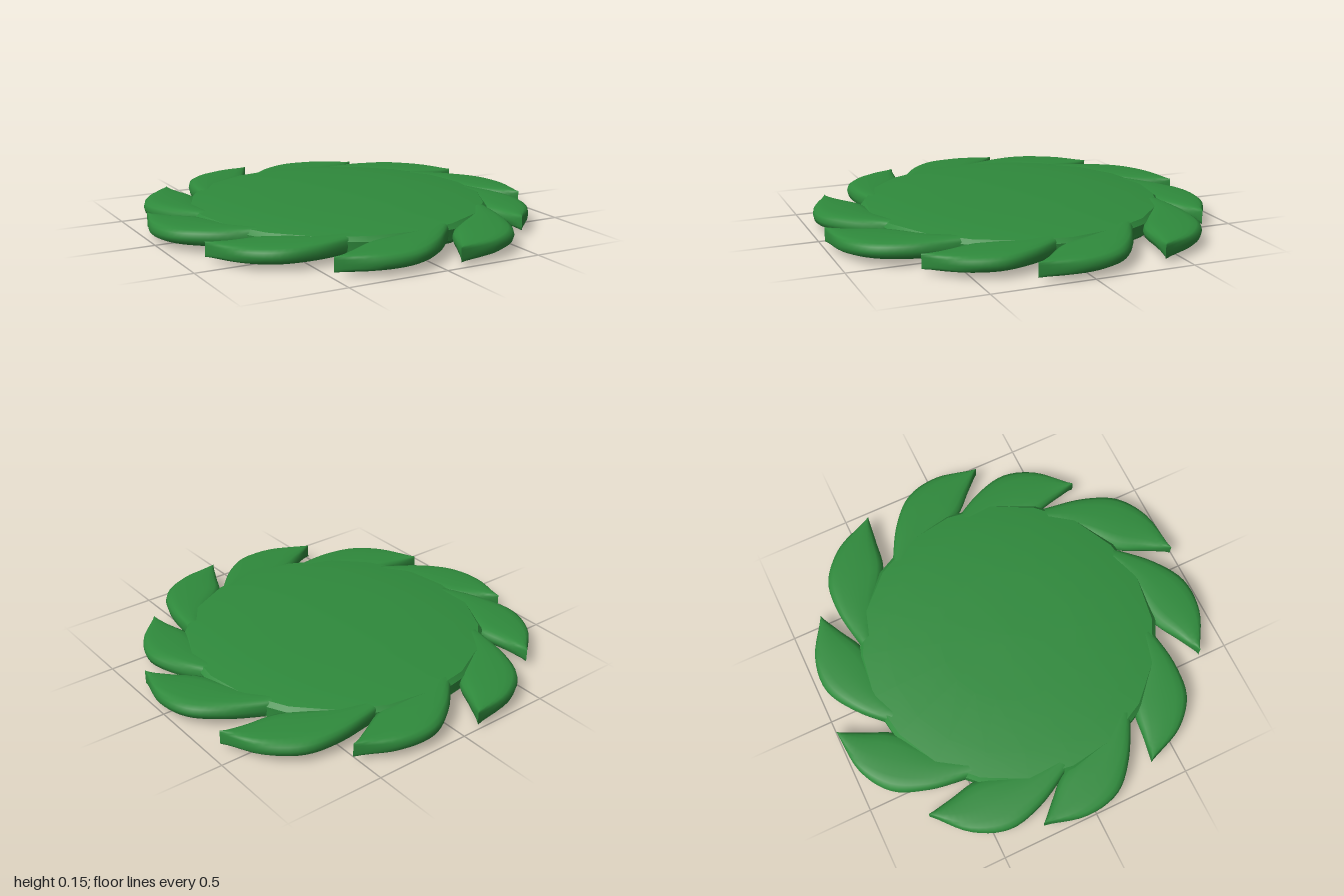
import * as THREE from 'three';
import { toCreasedNormals } from 'three/addons/utils/BufferGeometryUtils.js';

const material = new THREE.MeshStandardMaterial({ color: 0x2f8a3c });

// Blade outline in polar form, root to tip: [degrees behind the tip, radius / tip radius]
const polarCurve = (pts) => new THREE.CatmullRomCurve3(pts.map(([a, r]) => {
  const t = THREE.MathUtils.degToRad(-a);
  return new THREE.Vector3(r * Math.cos(t), 0, r * Math.sin(t));
}));
const outerEdge = polarCurve([[46, 0.75], [33, 0.89], [23.5, 0.99], [13, 1.02], [0, 1]]);
const innerEdge = polarCurve([[41, 0.69], [25, 0.71], [11, 0.765], [4.5, 0.88], [0, 1]]);

// Loft of rounded sections between the inner and outer edges
function bladeGeometry() {
  const steps = 20, sides = 16, pos = [], index = [];
  const soft = (v) => Math.sign(v) * Math.pow(Math.abs(v), 0.65);
  for (let i = 0; i <= steps; i++) {
    const t = i / steps;
    const inner = innerEdge.getPoint(t), outer = outerEdge.getPoint(t);
    const midY = THREE.MathUtils.lerp(0.078, 0.063, t);
    const half = THREE.MathUtils.lerp(0.047, 0.036, t * t);
    for (let j = 0; j < sides; j++) {
      const a = (j / sides) * Math.PI * 2;
      const p = inner.clone().lerp(outer, (1 + soft(Math.cos(a))) / 2);
      pos.push(p.x, midY + half * soft(Math.sin(a)), p.z);
      if (i < steps) {
        const b = i * sides + j, c = i * sides + (j + 1) % sides;
        index.push(b, c, b + sides, c, c + sides, b + sides);
      }
    }
  }
  const geo = new THREE.BufferGeometry();
  geo.setAttribute('position', new THREE.Float32BufferAttribute(pos, 3));
  geo.setIndex(index);
  geo.computeVertexNormals();
  return geo;
}

export function createModel() {
  const model = new THREE.Group();
  model.name = 'bladedDisc';

  // Shallow domed disc with a faceted rim
  const profile = [
    [0, 0.004], [0.4, 0.007], [0.65, 0.015], [0.74, 0.024], [0.765, 0.045],
    [0.765, 0.098], [0.745, 0.12], [0.62, 0.136], [0.35, 0.147], [0, 0.15],
  ].map(([r, y]) => new THREE.Vector2(r, y));
  const disc = new THREE.Mesh(toCreasedNormals(new THREE.LatheGeometry(profile, 20), 0.5), material);
  disc.name = 'disc';
  disc.position.set(-0.01, 0, -0.01);
  model.add(disc);

  // Ring of swept blades: [tip angle in degrees, tip radius]
  const geo = bladeGeometry();
  const tips = [
    [-95, 1.0], [-58, 0.98], [-22.5, 1.01], [15, 0.98], [47, 0.94],
    [85.4, 0.99], [120, 0.98], [158, 0.96], [195.6, 0.98], [228.6, 1.0],
  ];
  tips.forEach(([angle, radius], i) => {
    const blade = new THREE.Mesh(geo, material);
    blade.name = `blade${i + 1}`;
    blade.rotation.y = -THREE.MathUtils.degToRad(angle);
    blade.scale.set(radius, 1, radius);
    model.add(blade);
  });
  return model;
}
